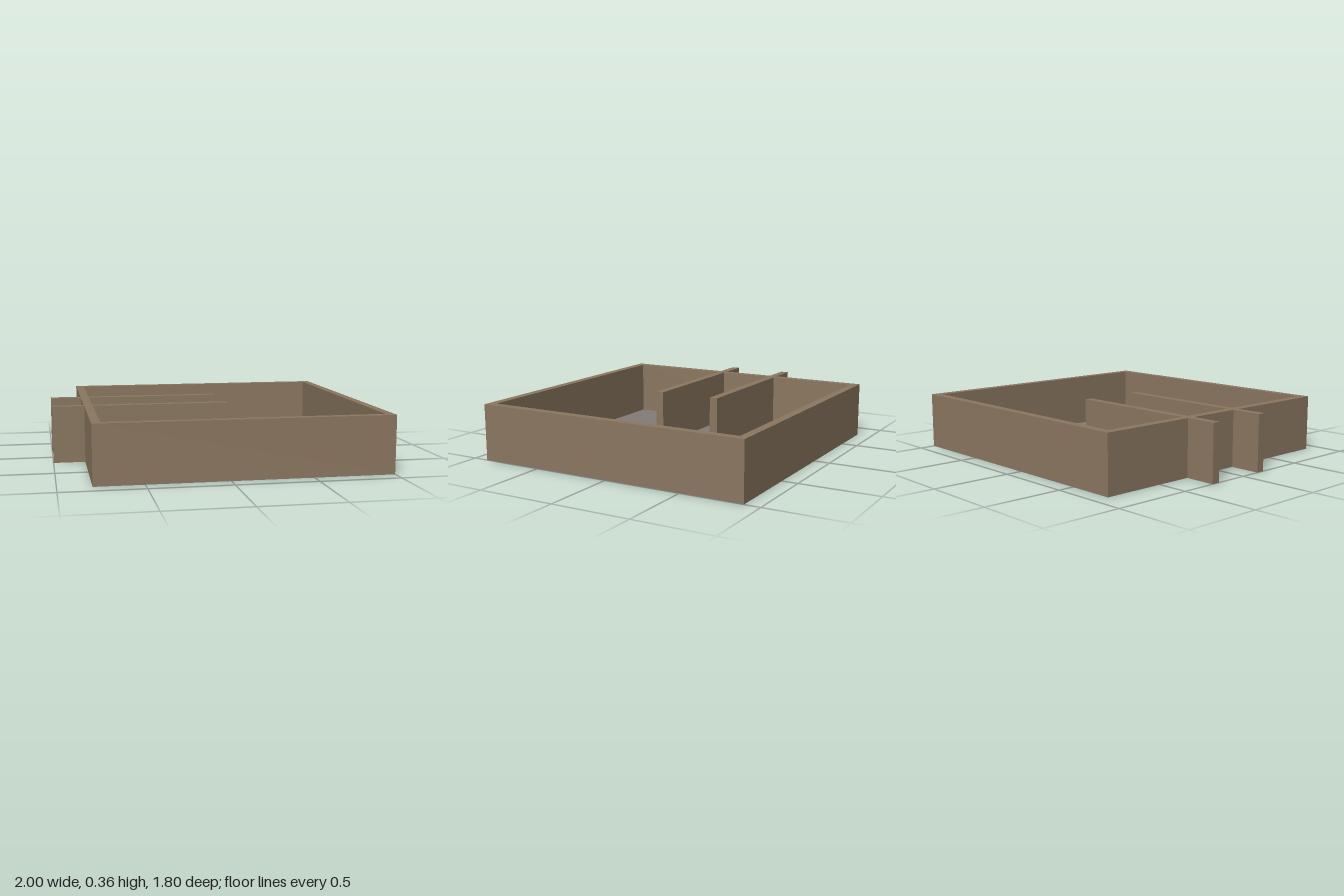
import * as THREE from 'three';

const HEIGHT = 0.36;
const WALL = 0.053;
const FLOOR = 0.004;

export function createModel() {
  const model = new THREE.Group();
  model.name = 'partitionedTray';

  const brown = new THREE.MeshStandardMaterial({ color: 0x8b7760 });
  brown.name = 'brown';
  const grey = new THREE.MeshStandardMaterial({ color: 0x827d77 });
  grey.name = 'warmGrey';

  // Frame of four walls: an outer rectangle with a rectangular hole
  const rectangle = (path, x0, x1, z) =>
    path.moveTo(x0, -z).lineTo(x1, -z).lineTo(x1, z).lineTo(x0, z).closePath();
  const outline = rectangle(new THREE.Shape(), -0.8, 1, 0.9);
  outline.holes.push(rectangle(new THREE.Path(), -0.8 + WALL, 1 - WALL, 0.9 - WALL));
  const frameGeometry = new THREE.ExtrudeGeometry(outline, {
    depth: HEIGHT - FLOOR,
    bevelEnabled: false,
  });
  frameGeometry.rotateX(-Math.PI / 2).translate(0, FLOOR, 0);
  const walls = new THREE.Mesh(frameGeometry, brown);
  walls.name = 'walls';
  model.add(walls);

  // Thin floor under the whole frame
  const floor = new THREE.Mesh(new THREE.BoxGeometry(1.8, FLOOR, 1.8), grey);
  floor.name = 'floor';
  floor.position.set(0.1, FLOOR / 2, 0);
  model.add(floor);

  // Two partitions running through one wall, sticking out beyond it
  const addPartition = (name, z, x0, x1, bottom) => {
    const height = HEIGHT - bottom;
    const mesh = new THREE.Mesh(new THREE.BoxGeometry(x1 - x0, height, WALL), brown);
    mesh.name = name;
    mesh.position.set((x0 + x1) / 2, bottom + height / 2, z);
    model.add(mesh);
  };
  for (const [side, z] of [['front', 0.16], ['back', -0.245]]) {
    addPartition(`${side}PartitionInside`, z, -0.8 + WALL, 0.125, FLOOR);
    addPartition(`${side}PartitionOutside`, z, -1, -0.8, 0);
  }

  return model;
}
